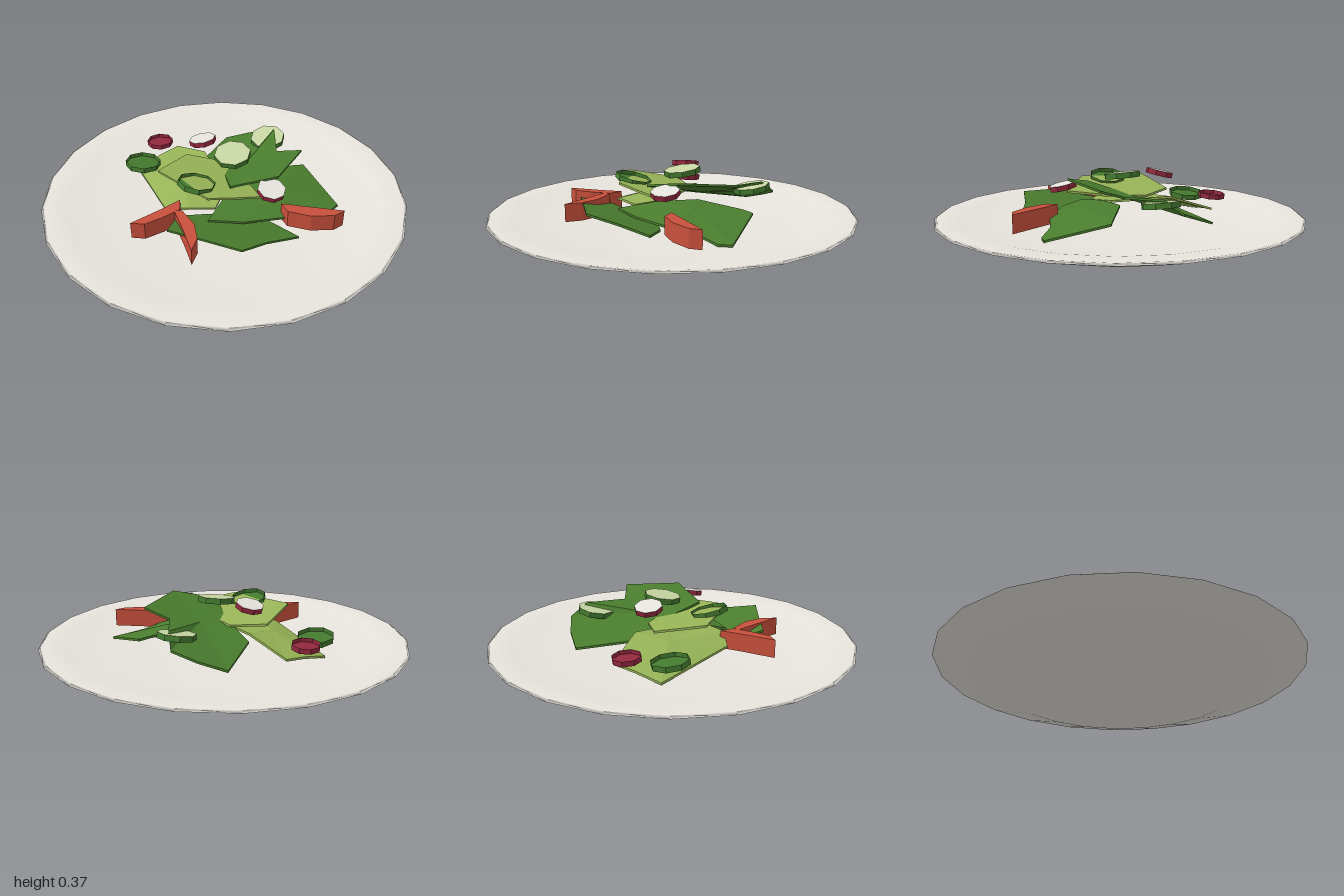
import * as THREE from 'three';

const mat = (name, color, options = {}) => {
  const m = new THREE.MeshStandardMaterial({ color, flatShading: true, ...options });
  m.name = name;
  return m;
};

export function createModel() {
  const salad = new THREE.Group();
  salad.name = 'saladPlate';

  const open = { side: THREE.DoubleSide };
  const glaze = mat('plate glaze', 0xe8e5de, { flatShading: false });
  const darkLeaf = mat('dark lettuce', 0x4a7d2e);
  const lightLeaf = mat('light lettuce', 0x97b457);
  const tomatoRed = mat('tomato red', 0xc8503c);
  const cucumberSkin = mat('cucumber skin', 0x447a2f, open);
  const cucumberFlesh = mat('cucumber flesh', 0xc6d6a2);
  const radishSkin = mat('radish skin', 0x92283e, open);
  const radishFlesh = mat('radish flesh', 0xf0ede8);

  const add = (name, geometry, material, parent = salad) => {
    const mesh = new THREE.Mesh(geometry, material);
    mesh.name = name;
    parent.add(mesh);
    return mesh;
  };

  // Shallow dish with a rounded lip: a smooth, 22-sided lathe profile
  const profile = [
    [0, 0], [0.65, 0], [1, 0.11], [0.985, 0.12], [0.86, 0.112], [0.62, 0.072], [0, 0.066]];
  add('plate', new THREE.LatheGeometry(
    profile.map(([x, y]) => new THREE.Vector2(x, y)), 22, Math.PI / 2), glaze);

  // Leaf: a thin slab fanned from a hub to an angular rim of [x, y, z] points
  const leaf = (name, material, hub, rim, thick = 0.012) => {
    let area = 0;
    rim.forEach((a, i) => {
      const b = rim[(i + 1) % rim.length];
      area += a[2] * b[0] - b[2] * a[0];
    });
    const loop = area > 0 ? rim : [...rim].reverse();
    const down = ([x, y, z]) => [x, y - thick, z];
    const corners = [];
    loop.forEach((a, i) => {
      const b = loop[(i + 1) % loop.length];
      corners.push(hub, a, b, down(hub), down(b), down(a));
      corners.push(a, down(a), down(b), a, down(b), b);
    });
    const g = new THREE.BufferGeometry();
    g.setAttribute('position', new THREE.Float32BufferAttribute(corners.flat(), 3));
    g.computeVertexNormals();
    add(name, g, material);
  };

  // Flat leaf: [x, z] outline lying on the plane y = base + slopeX * x + slopeZ * z
  const flatLeaf = (name, material, [base, slopeX, slopeZ], hub, outline) => {
    const lift = ([x, z]) => [x, base + slopeX * x + slopeZ * z, z];
    leaf(name, material, lift(hub), outline.map(lift));
  };

  flatLeaf('frontLettuce', darkLeaf, [0.054, -0.12, 0.25], [-0.02, 0.35], [
    [-0.35, 0.36], [-0.18, 0.47], [-0.01, 0.585], [0.13, 0.51], [0.31, 0.455],
    [0.2, 0.28], [0.1, 0.2], [-0.12, 0.18], [-0.28, 0.2]]);
  leaf('rightLettuce', darkLeaf, [0.25, 0.18, 0.1], [
    [0.42, 0.175, -0.1], [0.48, 0.165, -0.11], [0.6, 0.09, 0.19], [0.54, 0.088, 0.23],
    [0.42, 0.11, 0.235], [0.28, 0.135, 0.3], [0.05, 0.145, 0.315], [-0.13, 0.15, 0.275],
    [0, 0.18, 0.1], [0.15, 0.19, -0.05]]);
  // Large leaf rising towards the front left, with one upturned corner
  leaf('upperDarkLettuce', darkLeaf, [0.15, 0.235, -0.1], [
    [0.1, 0.12, -0.535], [0.24, 0.165, -0.5], [0.36, 0.21, -0.44], [0.355, 0.275, -0.34],
    [0.32, 0.27, -0.12], [0.44, 0.317, -0.04], [0.25, 0.335, 0.205], [0, 0.285, 0.185],
    [0, 0.225, -0.05], [-0.07, 0.165, -0.27]]);
  leaf('lowerLightLettuce', lightLeaf, [-0.22, 0.185, -0.16], [
    [-0.46, 0.085, -0.35], [-0.32, 0.115, -0.42], [-0.21, 0.13, -0.475], [-0.07, 0.21, -0.27],
    [0, 0.18, 0.05], [-0.08, 0.165, 0.2], [-0.22, 0.175, 0.19], [-0.34, 0.14, 0.13]]);
  flatLeaf('upperLightLettuce', lightLeaf, [0.24, -0.13, 0.12], [-0.1, 0.05], [
    [-0.36, -0.02], [-0.18, -0.22], [0, -0.15], [0.1, 0.05], [0.15, 0.25],
    [0, 0.265], [-0.13, 0.27], [-0.25, 0.12]]);

  // Tomato wedges: crescents in plan [x, z], extruded upwards
  const tomatoes = [
    [[-0.53, 0.29], [-0.46, 0.31], [-0.36, 0.27], [-0.27, 0.22], [-0.26, 0.14], [-0.36, 0.2]],
    [[-0.3, 0.23], [-0.27, 0.4], [-0.25, 0.54], [-0.21, 0.46], [-0.21, 0.35], [-0.26, 0.23]],
    [[0.26, 0.26], [0.28, 0.33], [0.39, 0.385], [0.51, 0.4], [0.57, 0.37], [0.43, 0.32]],
  ];
  tomatoes.forEach((points, i) => {
    const shape = new THREE.Shape(points.map(([x, z]) => new THREE.Vector2(x, -z)));
    const g = new THREE.ExtrudeGeometry(shape, { depth: 0.097, bevelEnabled: false });
    add(`tomatoWedge${i + 1}`, g.rotateX(-Math.PI / 2).translate(0, 0.1, 0), tomatoRed);
  });

  // Slice: a skin ring with flesh on its face and a recessed skin disc behind
  const slice = (name, r, h, skin, flesh, position, tiltX, tiltZ, flipped = false) => {
    const group = new THREE.Group();
    group.name = name;
    add('skinRing', new THREE.CylinderGeometry(r, r, h, 8, 1, true), skin, group);
    const disc = (y) => new THREE.CircleGeometry(r, 8).rotateX(-Math.PI / 2).translate(0, y, 0);
    add('fleshFace', disc(h / 2), flesh, group);
    add('skinBack', disc(h / 2 - 0.006), skin, group);
    group.position.set(...position);
    group.rotation.set(tiltX + (flipped ? Math.PI : 0), 0, tiltZ);
    salad.add(group);
  };
  const cucumber = (n, ...rest) => slice(`cucumberSlice${n}`, 0.1, 0.03, cucumberSkin, cucumberFlesh, ...rest);
  const radish = (n, ...rest) => slice(`radishSlice${n}`, 0.075, 0.028, radishSkin, radishFlesh, ...rest);

  cucumber(1, [0.05, 0.335, -0.03], 0.12, 0.08);
  cucumber(2, [0.31, 0.237, -0.31], 0.12, 0.12);
  cucumber(3, [-0.17, 0.284, 0.13], -0.16, 0.2, true);
  cucumber(4, [-0.43, 0.165, -0.28], -0.1, 0.08, true);
  radish(1, [-0.09, 0.335, -0.2], -0.2, 0.15);
  radish(2, [0.205, 0.285, 0.25], 0.2, -0.08);
  radish(3, [-0.315, 0.185, -0.455], -0.08, 0, true);

  return salad;
}
